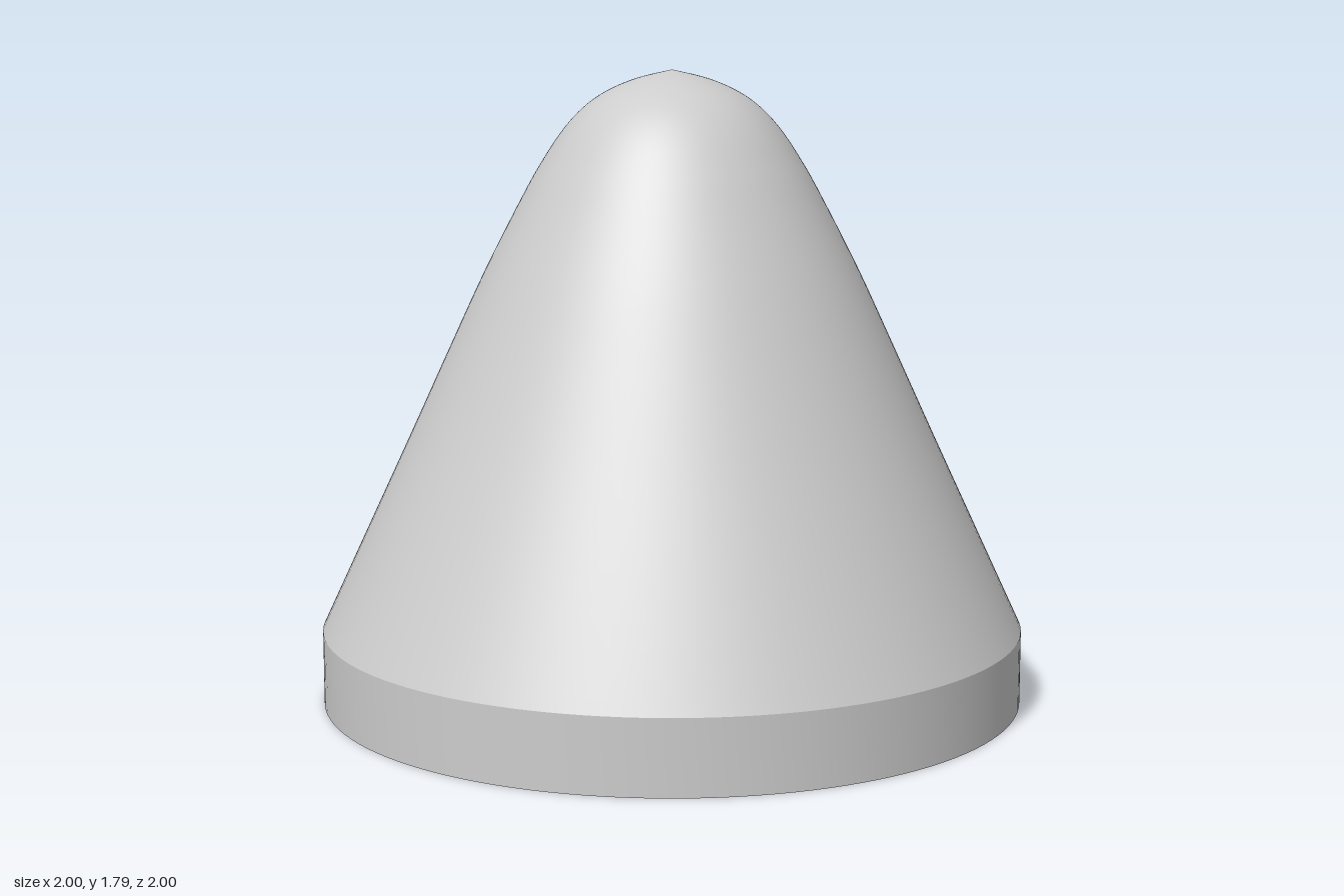
import * as THREE from 'three';
import { toCreasedNormals } from 'three/addons/utils/BufferGeometryUtils.js';

const DEG = Math.PI / 180;
const SOCKET_R = 0.79, NOTCH_R = 0.9, CAVITY_R = 0.66, LEDGE_Y = 0.21;

// Socket outline with three notches; grooved slices continue each notch sideways by 20 degrees
function socketPath(grooved) {
  const pts = [];
  const arc = (r, from, to) => {
    const n = Math.max(2, Math.ceil((to - from) / 3));
    for (let i = 0; i <= n; i++) {
      const a = (from + ((to - from) * i) / n) * DEG;
      pts.push(new THREE.Vector2(r * Math.cos(a), r * Math.sin(a)));
    }
  };
  for (let k = 0; k < 3; k++) {
    const mid = -40 + k * 120;
    arc(NOTCH_R, mid - 10.5, mid + 10.5);
    arc(grooved ? NOTCH_R : SOCKET_R, mid + 12, mid + 32);
    arc(SOCKET_R, mid + 32.01, mid + 108);
  }
  return new THREE.Path(pts);
}

// One horizontal slice of the socket ring between two heights
function socketLayer(y0, y1, grooved, material) {
  const shape = new THREE.Shape();
  shape.absarc(0, 0, 0.95, 0, Math.PI * 2);
  shape.holes.push(socketPath(grooved));
  const geo = new THREE.ExtrudeGeometry(shape, { depth: y1 - y0, bevelEnabled: false, curveSegments: 64 });
  geo.rotateX(Math.PI / 2).translate(0, y1, 0);
  return new THREE.Mesh(toCreasedNormals(geo, 15 * DEG), material);
}

export function createModel() {
  const group = new THREE.Group();
  group.name = 'noseCone';
  const grey = new THREE.MeshStandardMaterial({ color: 0xcccccc });
  grey.name = 'grey';

  // Outer curve from the rim to the slightly pointed tip
  const outer = new THREE.SplineCurve([
    [1, 0.21], [0.87, 0.49], [0.74, 0.77], [0.63, 1.01], [0.525, 1.235], [0.415, 1.448],
    [0.361, 1.542], [0.307, 1.622], [0.25, 1.684], [0.185, 1.73], [0.1, 1.766], [0, 1.79],
  ].map(([x, y]) => new THREE.Vector2(x, y))).getPoints(55);
  outer[outer.length - 1].x = 0;

  // Closed profile: conical cavity roof, straight bore, ledge, rim, then the outer curve
  const profile = [
    ...[[0, 1.3], [CAVITY_R, 0.79], [CAVITY_R, LEDGE_Y], [0.95, LEDGE_Y], [0.95, 0], [1, 0]]
      .map(([x, y]) => new THREE.Vector2(x, y)),
    ...outer,
  ];
  const shell = new THREE.Mesh(toCreasedNormals(new THREE.LatheGeometry(profile, 128), 20 * DEG), grey);
  shell.name = 'shell';
  group.add(shell);

  // Twist-lock socket: notches run full height, grooves only through the middle
  const socket = new THREE.Group();
  socket.name = 'twistLockSocket';
  [['socketLip', 0, 0.04, false], ['socketGroove', 0.04, 0.16, true], ['socketTop', 0.16, LEDGE_Y, false]]
    .forEach(([name, y0, y1, grooved]) => {
      const layer = socketLayer(y0, y1, grooved, grey);
      layer.name = name;
      socket.add(layer);
    });
  group.add(socket);
  return group;
}
